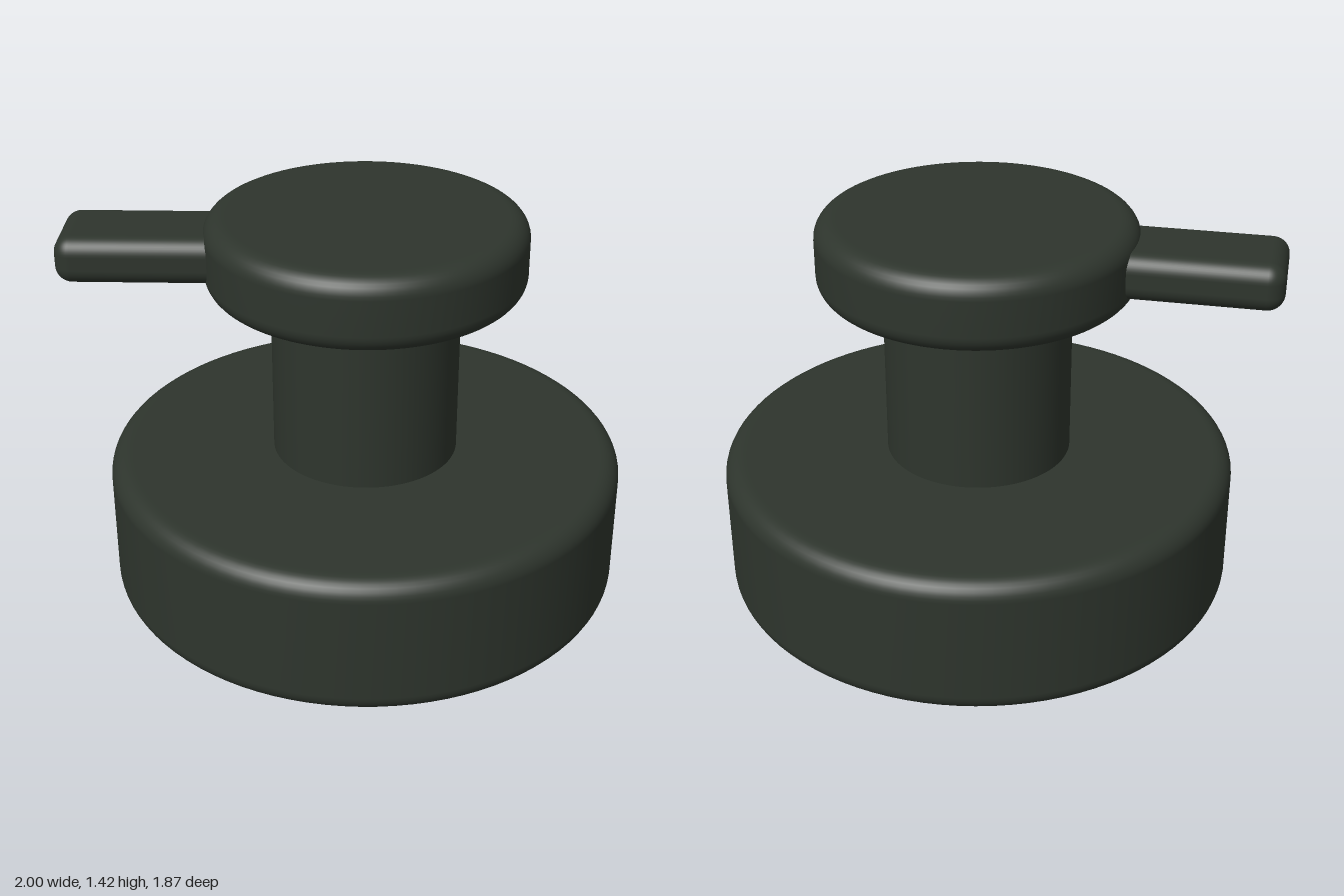
import * as THREE from 'three';
import { RoundedBoxGeometry } from 'three/addons/geometries/RoundedBoxGeometry.js';

const AXIS_X = 0.065; // the round parts share this axis

// Solid disc with filleted rims, turned from a half profile
function roundedDisc(radius, y0, y1, fillet) {
  const steps = 8;
  const inner = radius - fillet;
  const points = [new THREE.Vector2(0, y0), new THREE.Vector2(inner - 0.01, y0)];
  for (const [cy, start] of [[y0 + fillet, -Math.PI / 2], [y1 - fillet, 0]]) {
    for (let i = 0; i <= steps; i++) {
      const a = start + (i / steps) * Math.PI / 2;
      points.push(new THREE.Vector2(inner + fillet * Math.cos(a), cy + fillet * Math.sin(a)));
    }
  }
  points.push(new THREE.Vector2(inner - 0.01, y1), new THREE.Vector2(0, y1));
  return new THREE.LatheGeometry(points, 96);
}

export function createModel() {
  const model = new THREE.Group();
  const paint = new THREE.MeshStandardMaterial({ color: 0x2e352d });
  paint.name = 'dark green';

  const add = (name, geometry, x, y = 0) => {
    const mesh = new THREE.Mesh(geometry, paint);
    mesh.name = name;
    mesh.position.set(x, y, 0);
    model.add(mesh);
  };

  // Wide base, slim stem and cap
  add('base', roundedDisc(0.933, 0, 0.523, 0.07), AXIS_X);
  add('stem', new THREE.CylinderGeometry(0.336, 0.336, 0.68, 96), AXIS_X, 0.84);
  add('cap', roundedDisc(0.565, 1.155, 1.423, 0.07), AXIS_X);

  // Lever reaching out from inside the cap
  add('lever', new RoundedBoxGeometry(0.75, 0.168, 0.336, 6, 0.06), -0.625, 1.291);

  return model;
}
